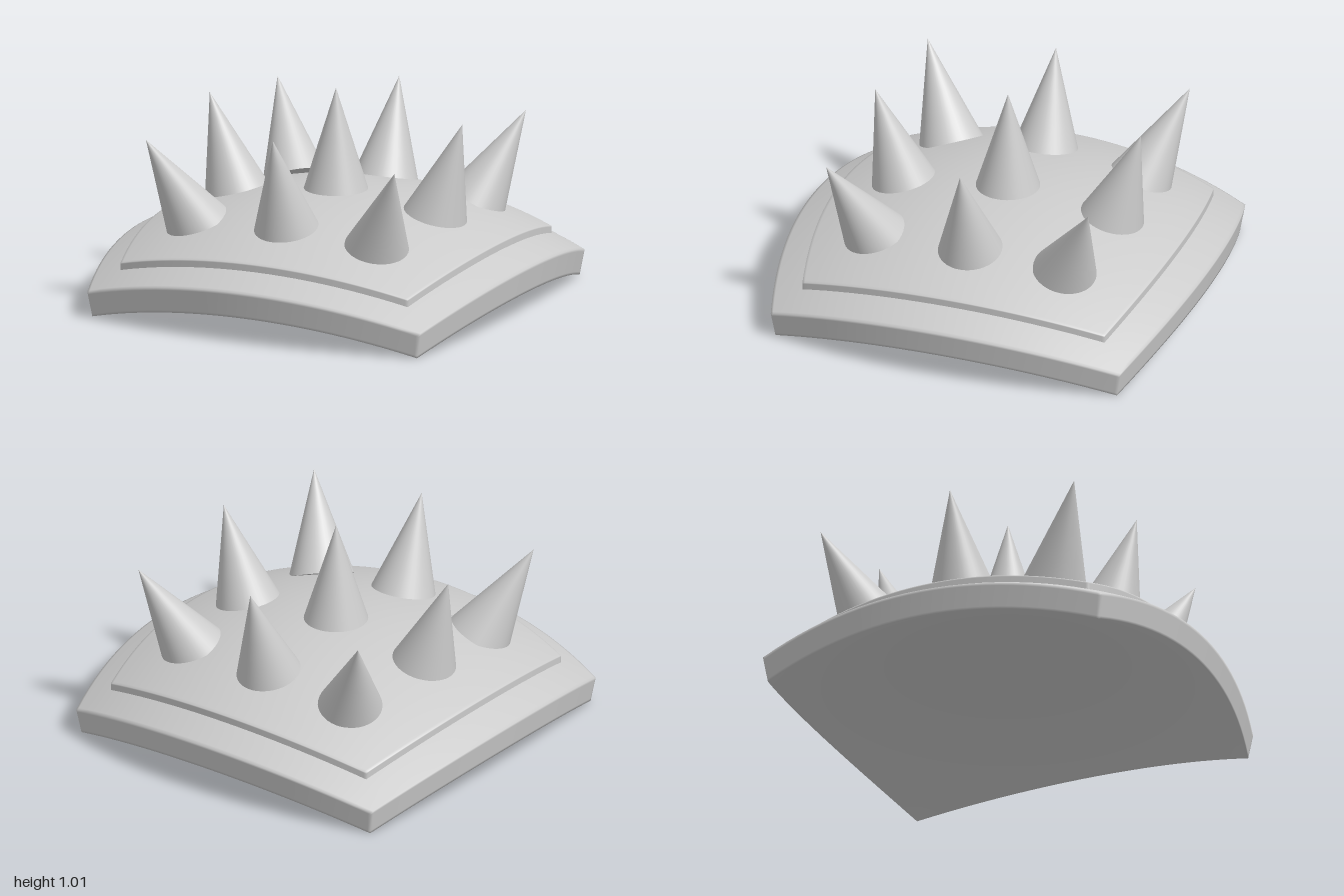
import * as THREE from 'three';
import { mergeVertices } from 'three/addons/utils/BufferGeometryUtils.js';

const material = new THREE.MeshStandardMaterial({ color: 0xcccccc });

// Domed square slab with bowed sides; a tight loop next to each edge keeps the rims crisp but soft
function domedSlab(half, bow, topY, bottomY, bottomScale, curve) {
  const n = 28;
  const geo = new THREE.BoxGeometry(2, 2, 2, n, 3, n);
  geo.deleteAttribute('normal');
  geo.deleteAttribute('uv');
  const merged = mergeVertices(geo, 1e-4);
  const pos = merged.attributes.position;
  const rim = 0.015 / half;
  const inner = 1 - 2 / n;
  const tighten = (t) =>
    Math.abs(t) > inner + 0.01 ? Math.sign(t) : (t / inner) * (1 - rim);
  for (let i = 0; i < pos.count; i++) {
    const u = tighten(pos.getX(i));
    const v = tighten(pos.getZ(i));
    const t = pos.getY(i);
    const h = Math.abs(t) > 0.9 ? (t + 1) / 2 : t > 0 ? 0.9 : 0.1;
    const s = half * (bottomScale + (1 - bottomScale) * h);
    const x = s * u * (1 - bow * v * v);
    const z = s * v * (1 - bow * u * u);
    const y = bottomY + (topY - bottomY) * h - curve * (x * x + z * z);
    pos.setXYZ(i, x, y, z);
  }
  merged.computeVertexNormals();
  return merged;
}

// Cone from a base centre to a tip, sunk slightly into the dome
function spike(base, tip) {
  const axis = tip.clone().sub(base);
  const dir = axis.clone().normalize();
  const length = axis.length() + 0.012;
  const geo = new THREE.ConeGeometry(0.155, length, 40, 4);
  geo.translate(0, -length / 2, 0);
  const mesh = new THREE.Mesh(geo, material);
  mesh.quaternion.setFromUnitVectors(new THREE.Vector3(0, 1, 0), dir);
  mesh.position.copy(tip);
  return mesh;
}

export function createModel() {
  const model = new THREE.Group();
  model.name = 'spikedPlate';

  const plate = new THREE.Mesh(domedSlab(1, 0.13, 0.495, 0.36, 0.98, 0.247), material);
  plate.name = 'basePlate';
  model.add(plate);

  const panel = new THREE.Mesh(domedSlab(0.85, 0.113, 0.53, 0.47, 1, 0.247), material);
  panel.name = 'raisedPanel';
  model.add(panel);

  // One centre spike, then a side and a corner spike repeated by quarter turns
  const spikes = new THREE.Group();
  spikes.name = 'spikes';
  const V = (x, y, z) => new THREE.Vector3(x, y, z);
  const up = V(0, 1, 0);
  const add = (name, base, tip) => {
    const mesh = spike(base, tip);
    mesh.name = name;
    spikes.add(mesh);
  };
  add('centreSpike', V(0, 0.525, 0), V(0, 1.01, 0));
  for (let i = 0; i < 4; i++) {
    const turn = (v) => v.applyAxisAngle(up, (i * Math.PI) / 2);
    add('sideSpike' + (i + 1), turn(V(0, 0.46, 0.525)), turn(V(0, 0.91, 0.663)));
    add('cornerSpike' + (i + 1), turn(V(0.468, 0.41, 0.5)), turn(V(0.645, 0.83, 0.675)));
  }
  model.add(spikes);
  return model;
}
